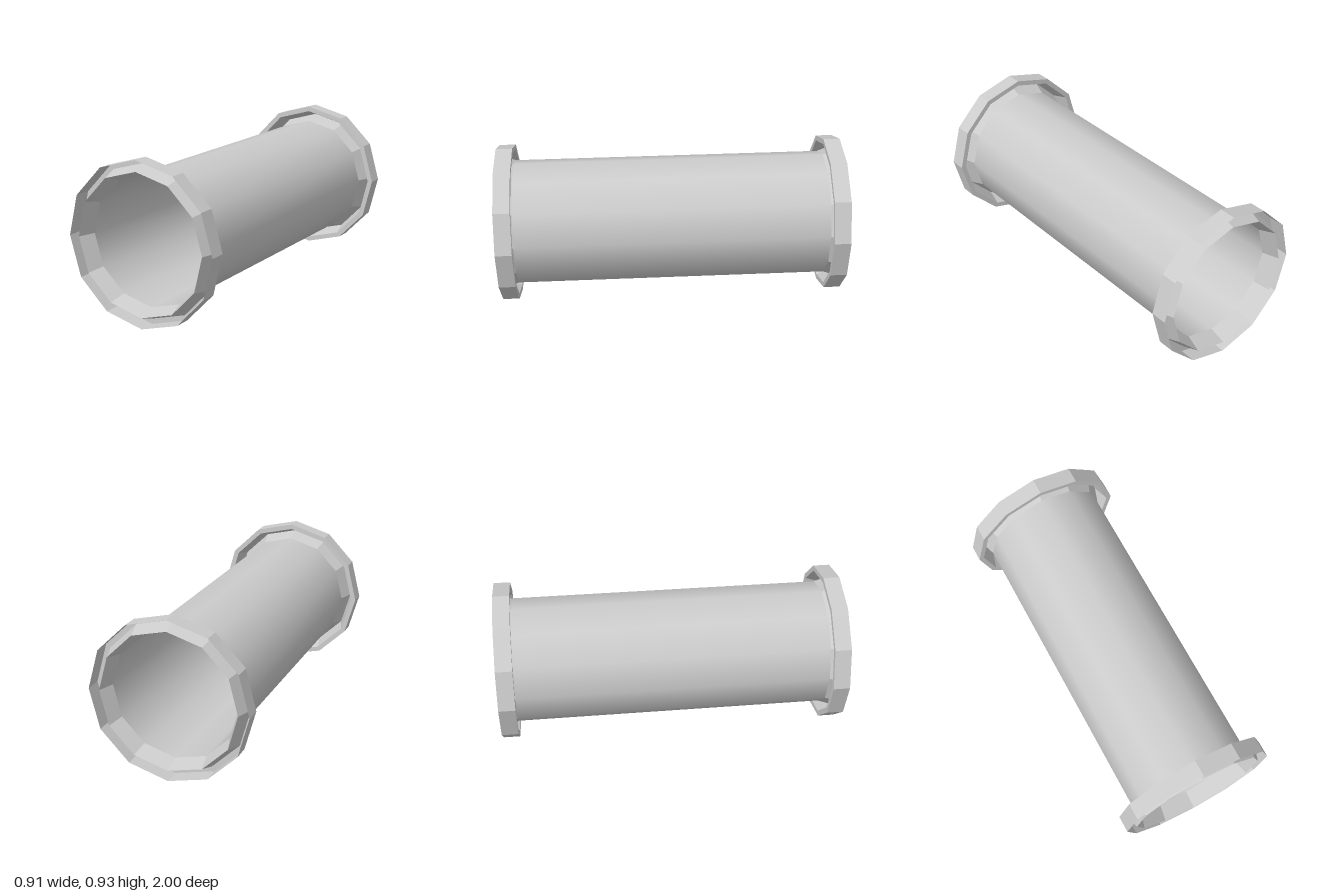
import * as THREE from 'three';

const SIDES = 12;

// Surface of revolution about the pipe's long (z) axis; points are [radius, z]
function revolve(name, points, material) {
  const profile = points.map(([r, z]) => new THREE.Vector2(r, z));
  const geometry = new THREE.LatheGeometry(profile, SIDES);
  geometry.rotateX(Math.PI / 2);
  const mesh = new THREE.Mesh(geometry, material);
  mesh.name = name;
  return mesh;
}

export function createModel() {
  const smooth = new THREE.MeshStandardMaterial({ color: 0xcccccc, side: THREE.DoubleSide });
  const faceted = new THREE.MeshStandardMaterial({ color: 0xcccccc, side: THREE.DoubleSide, flatShading: true });

  const pipe = new THREE.Group();
  pipe.name = 'pipe';

  // Smooth thin-walled tube
  pipe.add(revolve('tube', [[0.363, -0.9], [0.363, 0.9]], smooth));

  // Folded sheet collar: flared lip, groove wall, groove floor, outer rim
  const collar = [[0.363, 0.9], [0.395, 0.995], [0.427, 0.9], [0.457, 0.9], [0.457, 0.995]];
  pipe.add(revolve('frontCollar', collar, faceted));
  const mirrored = collar.map(([r, z]) => [r, -z]).reverse();
  pipe.add(revolve('backCollar', mirrored, faceted));

  // The pipe leans slightly, its back end a little higher
  pipe.rotation.set(0.0095, 0, 0.012);
  pipe.position.y = 0.466;

  const model = new THREE.Group();
  model.name = 'flangedPipe';
  model.add(pipe);
  return model;
}
